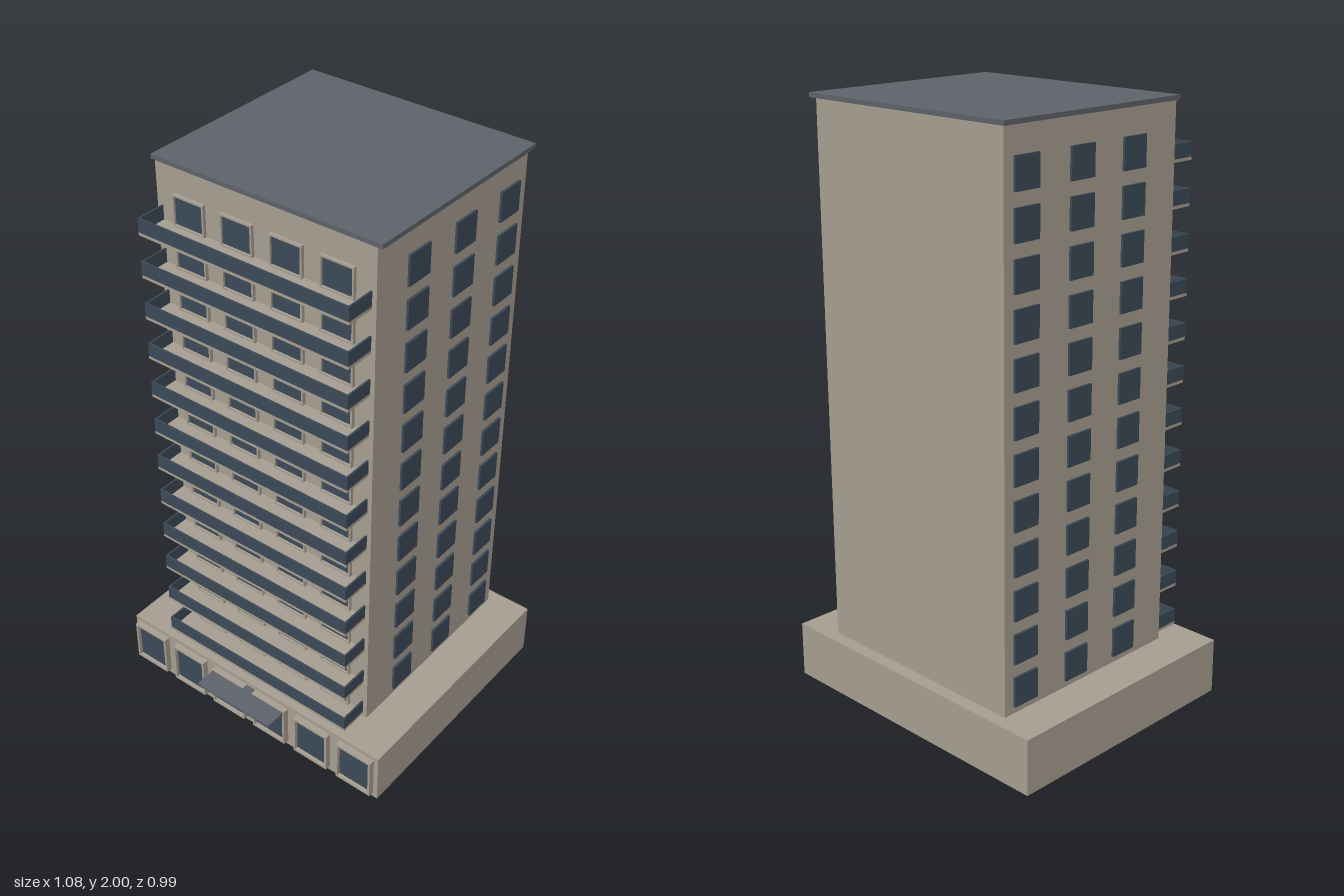
import * as THREE from 'three';

const material = (name, color) => Object.assign(new THREE.MeshStandardMaterial({ color }), { name });

export function createModel() {
  const wall = material('beige wall', 0xa89f92);
  const glass = material('dark glass', 0x3c4a57);
  const roofing = material('grey roofing', 0x5f636b);

  const building = new THREE.Group();
  building.name = 'apartmentTower';

  // Box given by its limits on each axis
  function block(parent, name, mat, [x0, x1], [y0, y1], [z0, z1]) {
    const mesh = new THREE.Mesh(new THREE.BoxGeometry(x1 - x0, y1 - y0, z1 - z0), mat);
    mesh.position.set((x0 + x1) / 2, (y0 + y1) / 2, (z0 + z1) / 2);
    mesh.name = name;
    parent.add(mesh);
    return mesh;
  }

  // Front window: four projecting frame bars around a recessed pane
  function framedWindow(parent, name, cx, width, y0, y1, wallZ, depth, bar) {
    const group = new THREE.Group();
    group.name = name;
    const x0 = cx - width / 2, x1 = cx + width / 2, z = [wallZ, wallZ + depth];
    block(group, 'frameLeft', wall, [x1 - bar, x1], [y0, y1], z);
    block(group, 'frameRight', wall, [x0, x0 + bar], [y0, y1], z);
    block(group, 'frameTop', wall, [x0 + bar, x1 - bar], [y1 - bar, y1], z);
    block(group, 'frameBottom', wall, [x0 + bar, x1 - bar], [y0, y0 + bar], z);
    block(group, 'pane', glass, [x0 + bar, x1 - bar], [y0 + bar, y1 - bar], [wallZ, wallZ + depth * 0.4]);
    parent.add(group);
  }

  // Main masses
  const tower = { x: 0.4, front: 0.278, back: -0.452 };
  const baseFront = 0.4;
  block(building, 'podium', wall, [-0.54, 0.54], [0, 0.19], [-0.497, baseFront]);
  block(building, 'tower', wall, [-tower.x, tower.x], [0.19, 1.985], [tower.back, tower.front]);
  block(building, 'roof', roofing, [-0.416, 0.416], [1.985, 2], [-0.466, tower.front]);

  // Ground floor shop windows and entrance canopy
  for (let i = 0; i < 6; i++) {
    framedWindow(building, 'shopWindow', (i - 2.5) * 0.181, 0.141, 0.02, 0.175, baseFront, 0.022, 0.008);
  }
  block(building, 'canopy', roofing, [-0.157, 0.157], [0.162, 0.172], [baseFront, 0.497]);

  // Twelve floors with front balconies and windows on both sides
  const half = 0.385, railFront = 0.38, rail = 0.006;
  for (let i = 0; i < 12; i++) {
    const floor = new THREE.Group();
    floor.name = 'floor' + (i + 1);
    floor.position.y = 0.213 + i * 0.1442;
    building.add(floor);

    block(floor, 'balconySlab', wall, [-half, half], [-0.01, 0], [tower.front, railFront]);
    block(floor, 'railingFront', glass, [-half, half], [0, 0.047], [railFront - rail, railFront]);
    for (let j = 0; j < 4; j++) {
      framedWindow(floor, 'frontWindow', (j - 1.5) * 0.181, 0.119, 0, 0.104, tower.front, 0.012, 0.006);
    }
    for (const side of [-1, 1]) {
      const span = (a, b) => (side > 0 ? [a, b] : [-b, -a]);
      block(floor, 'railingSide', glass, span(half - rail, half), [0, 0.047], [tower.front, railFront - rail]);
      for (const z of [0.088, -0.138, -0.365]) {
        block(floor, 'sideWindow', glass, span(tower.x, tower.x + 0.008), [0, 0.1], [z - 0.049, z + 0.049]);
      }
    }
  }
  return building;
}
